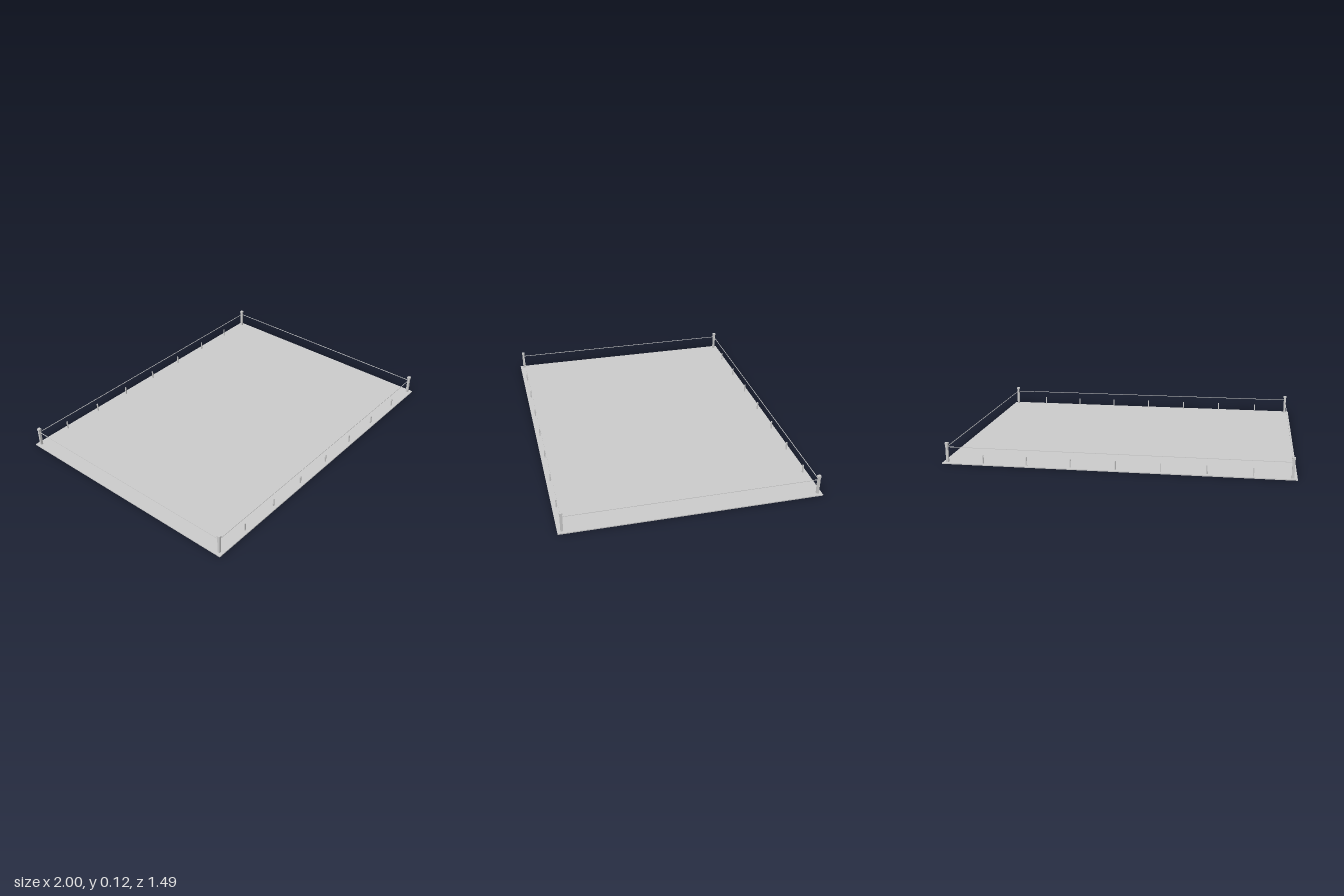
import * as THREE from 'three';

export function createModel() {
  const root = new THREE.Group();
  const material = new THREE.MeshStandardMaterial({ color: 0xcccccc, flatShading: true });

  // Box placed by its centre in x and z and by its base in y
  function box(name, w, h, d, x, y, z, parent = root) {
    const mesh = new THREE.Mesh(new THREE.BoxGeometry(w, h, d), material);
    mesh.name = name;
    mesh.position.set(x, y + h / 2, z);
    parent.add(mesh);
    return mesh;
  }

  const postX = 0.975, postZ = 0.72, deckTop = 0.006;
  const railY = 0.094, railSize = 0.003;

  // Thin floor slab
  box('floorSlab', 2, deckTop, 1.49, 0, 0, 0);

  // Corner posts with a slightly wider cap
  for (const sx of [-1, 1]) {
    for (const sz of [-1, 1]) {
      const post = new THREE.Group();
      post.name = 'cornerPost';
      post.position.set(sx * postX, 0, sz * postZ);
      box('postShaft', 0.014, 0.112 - deckTop, 0.014, 0, deckTop, 0, post);
      box('postCap', 0.019, 0.01, 0.019, 0, 0.112, 0, post);
      root.add(post);
    }
  }

  for (const s of [-1, 1]) {
    // Thin rails between the corner posts
    box('longRail', 2 * postX, railSize, railSize, 0, railY, s * postZ);
    box('sideRail', railSize, railSize, 2 * postZ, s * postX, railY, 0);

    // Row of short stakes along the front and back edges
    for (let i = -3; i <= 3; i++) {
      box('shortStake', 0.007, 0.055 - deckTop, 0.007, i * 0.2545, deckTop, s * postZ);
    }
  }

  return root;
}
